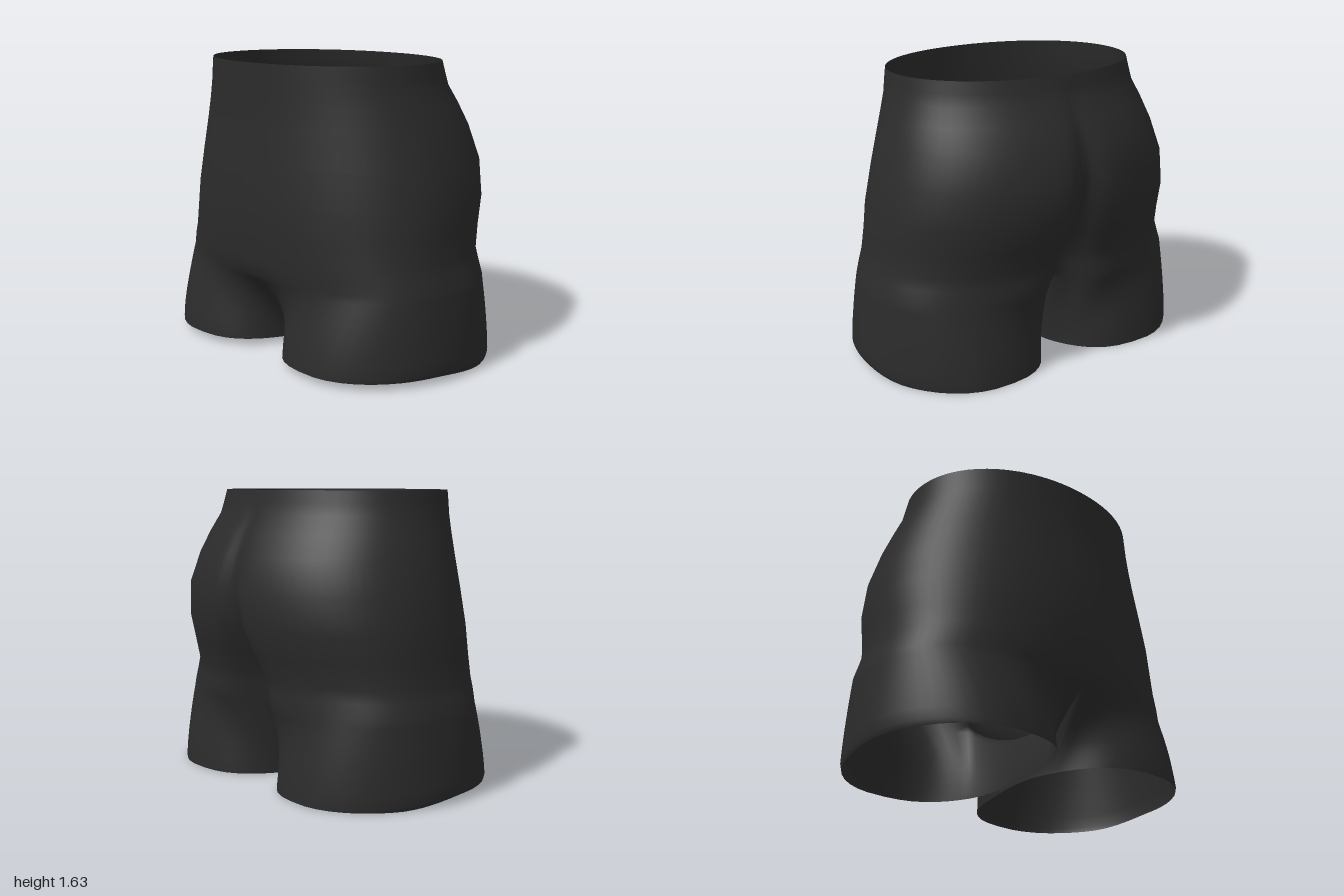
import * as THREE from 'three';
import { mergeVertices } from 'three/addons/utils/BufferGeometryUtils.js';

const N = 48; // columns from centre front round the side to centre back
const M = 14; // columns under the crotch

// torso rows: height, half width, front z, back z, centre back fold depth, corner exponent
const ROWS = [
  [1.635, 0.73, 0.63, -0.46, 0, 0.96],
  [1.57, 0.74, 0.63, -0.475, 0, 0.95],
  [1.5, 0.75, 0.63, -0.495, 0.01, 0.94],
  [1.4, 0.785, 0.63, -0.555, 0.02, 0.93],
  [1.28, 0.825, 0.635, -0.615, 0.035, 0.92],
  [1.1, 0.875, 0.65, -0.672, 0.06, 0.91],
  [0.9, 0.91, 0.66, -0.655, 0.09, 0.89],
  [0.75, 0.913, 0.657, -0.605, 0.13, 0.86],
  [0.62, 0.922, 0.645, -0.555, 0.16, 0.82],
  [0.55, 0.94, 0.637, -0.55, 0.18, 0.79],
  [0.48, 0.96, 0.625, -0.55, 0.2, 0.77],
];
const LEG_STEPS = [0.1, 0.22, 0.36, 0.5, 0.65, 0.8, 0.94, 1];

const lerp = THREE.MathUtils.lerp;
// columns are closer together near the centre seams
const spread = (u) => u - 0.04 * Math.sin(4 * Math.PI * u);

function torsoPoint([y, w, front, back, fold, corner], u) {
  const t = Math.PI * spread(u);
  const c = Math.cos(t);
  const x = u === 0 || u === 1 ? 0 : w * Math.pow(Math.sin(t), corner);
  let z = (front + back) / 2 + ((front - back) / 2) * Math.sign(c) * Math.pow(Math.abs(c), corner);
  if (c < 0) z += fold * Math.exp(-((x / (0.06 + 0.4 * fold)) ** 2));
  return [x, y, z];
}

// point on the leg opening: oval outside, flatter on the inner thigh, hem lower at the back
function hemPoint(angle, inset) {
  const s = Math.sin(angle);
  const reach = s > 0 ? (0.494 - inset) * s : -0.494 * Math.pow(-s, 0.68);
  const z = 0.05 + 0.605 * Math.cos(angle);
  return [0.506 + reach, 0.035 * THREE.MathUtils.smoothstep(z, -0.25, 0.2), z];
}

function shortsGeometry() {
  const pos = [], index = [];
  const last = ROWS[ROWS.length - 1];
  const open = 1.05; // angle by which the outer panel wraps round the thigh
  const frontSeam = torsoPoint(last, 0), backSeam = torsoPoint(last, 1);

  // ring at the top of the leg: outer panel, then the crotch curve back to front
  const legTop = [], angles = [];
  for (let j = 0; j <= N; j++) {
    legTop.push(torsoPoint(last, j / N));
    angles.push(-open + spread(j / N) * (Math.PI + 2 * open));
  }
  for (let j = 1; j < M; j++) {
    const u = j / M;
    legTop.push([0, last[0] - 0.2 * Math.pow(Math.sin(Math.PI * u), 0.8), lerp(backSeam[2], frontSeam[2], u)]);
    angles.push(Math.PI + open + u * (Math.PI - 2 * open));
  }

  for (const side of [1, -1]) {
    const quad = (a, b, c, d) => {
      if (side > 0) index.push(a, c, b, b, c, d);
      else index.push(a, b, c, b, d, c);
    };
    // hips and seat
    const start = pos.length / 3;
    for (const row of ROWS) {
      for (let j = 0; j <= N; j++) {
        const [x, y, z] = torsoPoint(row, j / N);
        pos.push(side * x, y, z);
      }
    }
    for (let i = 0; i < ROWS.length - 1; i++) {
      for (let j = 0; j < N; j++) {
        const a = start + i * (N + 1) + j;
        quad(a, a + 1, a + N + 1, a + N + 2);
      }
    }
    // leg, blending from the crotch ring to the hem
    const legStart = pos.length / 3, count = legTop.length;
    for (const s of [0, ...LEG_STEPS]) {
      const k = 1 - (1 - s) ** 1.5;
      legTop.forEach((p, j) => {
        const h = hemPoint(angles[j], s === 1 ? 0.012 : 0);
        pos.push(side * lerp(p[0], h[0], k), lerp(p[1], h[1], s), lerp(p[2], h[2], k));
      });
    }
    for (let i = 0; i < LEG_STEPS.length; i++) {
      for (let j = 0; j < count; j++) {
        const a = legStart + i * count, n = (j + 1) % count;
        quad(a + j, a + n, a + count + j, a + count + n);
      }
    }
  }

  // weld the centre seams so the cloth shades smoothly
  let geometry = new THREE.BufferGeometry();
  geometry.setAttribute('position', new THREE.Float32BufferAttribute(pos, 3));
  geometry.setIndex(index);
  geometry = mergeVertices(geometry, 1e-4);
  geometry.computeVertexNormals();
  return geometry;
}

export function createModel() {
  const group = new THREE.Group();
  group.name = 'shorts';
  const cloth = new THREE.MeshStandardMaterial({ color: 0x2b2b2b, side: THREE.DoubleSide });
  cloth.name = 'charcoal cloth';
  const shorts = new THREE.Mesh(shortsGeometry(), cloth);
  shorts.name = 'shortsCloth';
  group.add(shorts);
  return group;
}
